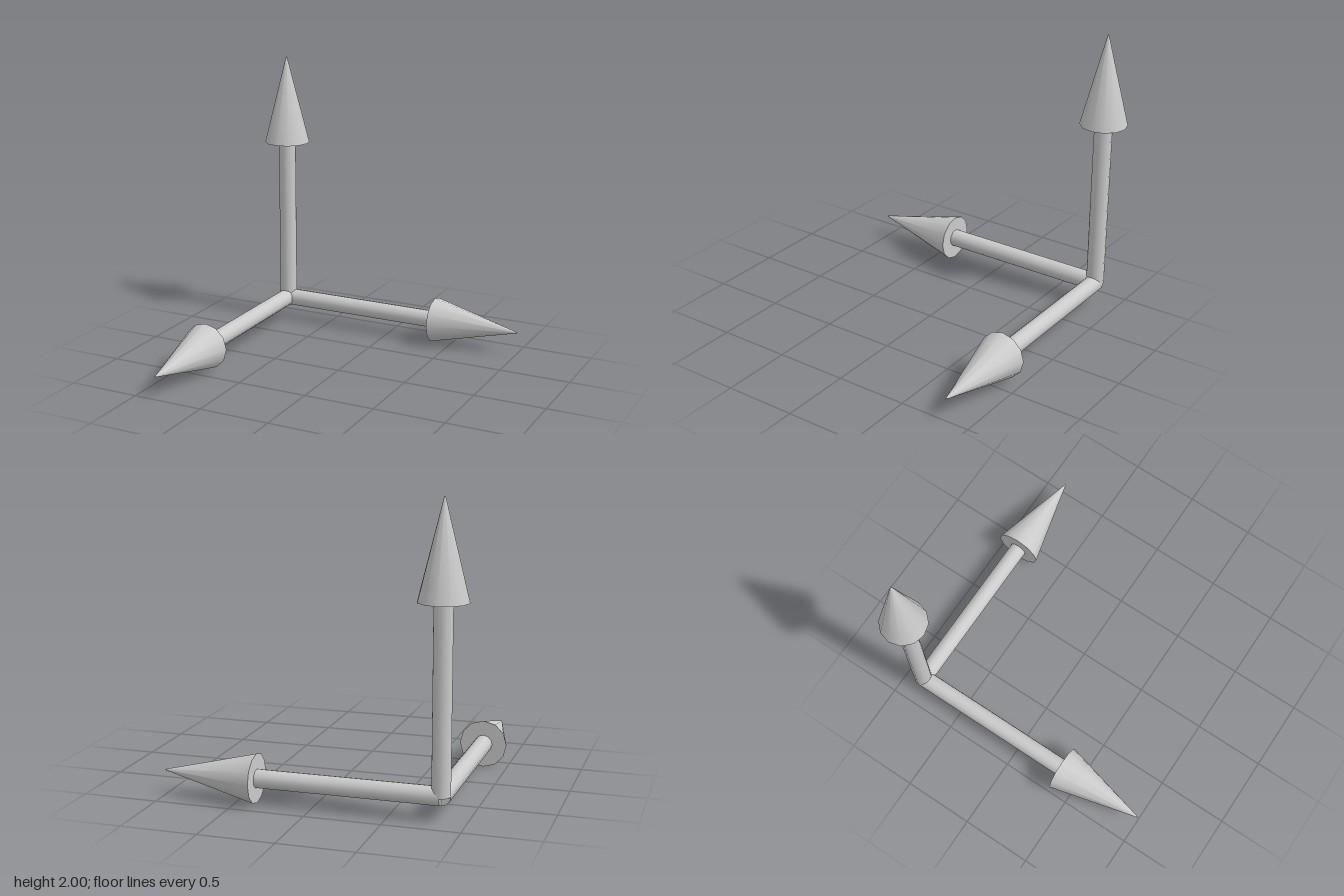
import * as THREE from 'three';

const SIDES = 12;
const ORIGIN = new THREE.Vector3(-0.837, 0.165, -0.837);
const SHAFT_LENGTH = 1.205, HEAD_LENGTH = 0.632;

// One arrow pointing up +y from its own origin
function createArrow(name, material) {
  const arrow = new THREE.Group();
  arrow.name = name;

  const shaft = new THREE.Mesh(
    new THREE.CylinderGeometry(0.062, 0.062, SHAFT_LENGTH, SIDES), material);
  shaft.name = name + 'Shaft';
  shaft.position.y = SHAFT_LENGTH / 2;

  // Cone with a very slightly blunted tip
  const head = new THREE.Mesh(
    new THREE.CylinderGeometry(0.004, 0.163, HEAD_LENGTH, SIDES), material);
  head.name = name + 'Head';
  head.position.y = SHAFT_LENGTH + HEAD_LENGTH / 2;

  arrow.add(shaft, head);
  return arrow;
}

export function createModel() {
  const model = new THREE.Group();
  model.name = 'axisArrows';
  const material = new THREE.MeshStandardMaterial({ color: 0xcccccc });

  // Three arrows meeting at the corner, one along each axis
  const rotations = {
    xArrow: [0, 0, -Math.PI / 2],
    yArrow: [0, 0, 0],
    zArrow: [Math.PI / 2, 0, 0],
  };
  for (const [name, rotation] of Object.entries(rotations)) {
    const arrow = createArrow(name, material);
    arrow.position.copy(ORIGIN);
    arrow.rotation.set(...rotation);
    model.add(arrow);
  }
  return model;
}
